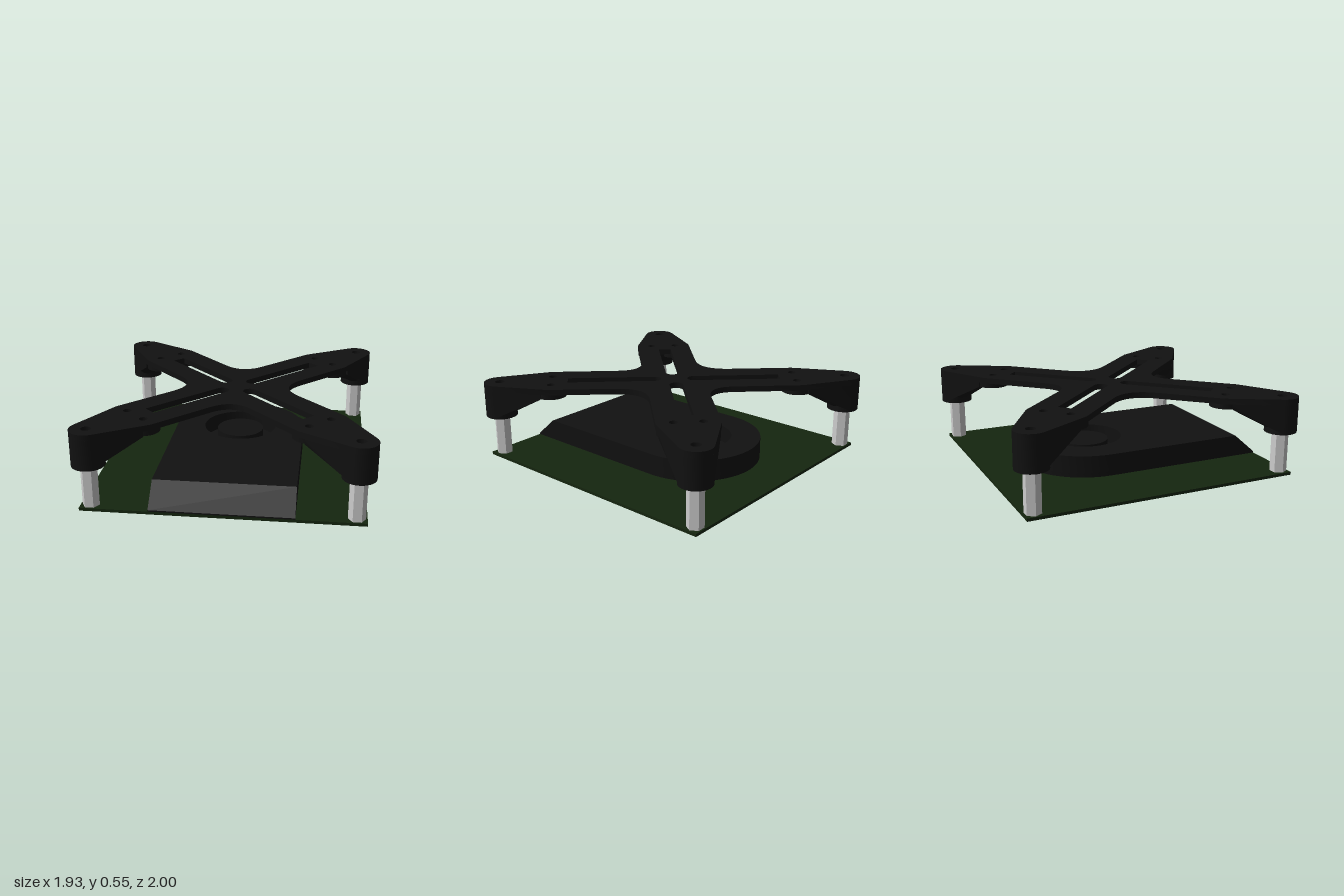
import * as THREE from 'three';
import { toCreasedNormals } from 'three/addons/utils/BufferGeometryUtils.js';

const black = new THREE.MeshStandardMaterial({ color: 0x111111 });
const green = new THREE.MeshStandardMaterial({ color: 0x15260f });
const metal = new THREE.MeshStandardMaterial({ color: 0xc0c0c0 });

// Post position, and the arm's measures along (u) and across (v) its axis
const PX = 0.853, PZ = 0.89, LEN = Math.hypot(PX, PZ), ANGLE = Math.atan2(PZ, PX);
const POST_R = 0.11, WIDE_U = 0.885, WIDE_V = 0.206, TAN = 1.314;
const ANGLES = [ANGLE, Math.PI - ANGLE, Math.PI + ANGLE, -ANGLE];
const BOSS_U = 0.867, BOSS_V = 0.094;

function add(parent, name, geometry, material, x = 0, y = 0, z = 0) {
  const mesh = new THREE.Mesh(geometry, material);
  mesh.name = name;
  mesh.position.set(x, y, z);
  parent.add(mesh);
  return mesh;
}

const circle = (x, y, r) => new THREE.Path().absarc(x, y, r, 0, Math.PI * 2, true);

// Extrudes a plan (shape y = -z) upward from y0 to y1
function slab(shape, y0, y1) {
  const g = new THREE.ExtrudeGeometry(shape, { depth: y1 - y0, bevelEnabled: false, curveSegments: 16 });
  return g.rotateX(-Math.PI / 2).translate(0, y0, 0);
}

function ring(x, y, r, hole) {
  const s = new THREE.Shape().absarc(x, y, r, 0, Math.PI * 2);
  s.holes.push(circle(x, y, hole));
  return s;
}

// Rounded, tapering end of an arm, from its start at (u, v)
function armEnd(u, v) {
  const pts = [new THREE.Vector2(u, -v)];
  for (let i = 0; i <= 20; i++) {
    const a = TAN * (i / 10 - 1);
    pts.push(new THREE.Vector2(LEN + POST_R * Math.cos(a), POST_R * Math.sin(a)));
  }
  pts.push(new THREE.Vector2(u, v));
  return pts;
}

// Cross plate: four arms joined by fillets, with slots and screw holes
function crossPlate() {
  const o = new THREE.Vector2();
  const at = (u, v, a) => new THREE.Vector2(u, v).rotateAround(o, a);
  const shape = new THREE.Shape();
  ANGLES.forEach((a, i) => {
    const start = at(0.42, -WIDE_V, a);
    if (i === 0) shape.moveTo(start.x, start.y);
    armEnd(WIDE_U, WIDE_V).forEach(p => {
      p.rotateAround(o, a);
      shape.lineTo(p.x, p.y);
    });
    const end = at(0.42, WIDE_V, a);
    shape.lineTo(end.x, end.y);
    // fillet to the next arm
    const next = at(0.42, -WIDE_V, ANGLES[(i + 1) % 4]);
    const c = end.clone().add(next).multiplyScalar(0.5).setLength(WIDE_V * Math.SQRT2);
    shape.quadraticCurveTo(c.x, c.y, next.x, next.y);

    const slot = [at(0.755, -0.047, a), at(0.755, 0.047, a)];
    for (let k = 0; k <= 10; k++) {
      const t = Math.PI * (0.5 + k / 10);
      slot.push(at(0.14 + 0.047 * Math.cos(t), 0.047 * Math.sin(t), a));
    }
    shape.holes.push(new THREE.Path(slot));
    const post = at(LEN, 0, a);
    shape.holes.push(circle(post.x, post.y, 0.033));
    for (const s of [-1, 1]) {
      const h = at(BOSS_U, s * BOSS_V, a);
      shape.holes.push(circle(h.x, h.y, 0.028));
    }
  });
  return toCreasedNormals(slab(shape, 0.51, 0.55), 0.6);
}

// Wedge under the arm, deepening toward the post
function gusset() {
  const shape = new THREE.Shape(armEnd(0.935, 0.192));
  shape.holes.push(circle(LEN, 0, 0.06));
  const g = slab(shape, 0.315, 0.512);
  const p = g.attributes.position;
  for (let i = 0; i < p.count; i++) {
    if (p.getX(i) < 1 && p.getY(i) < 0.4) p.setY(i, 0.475);
  }
  g.computeVertexNormals();
  return toCreasedNormals(g, 0.6);
}

// Blower housing: round back, square outlet, with an intake well
function blower() {
  const group = new THREE.Group();
  group.name = 'blower';
  const R = 0.47, CZ = -0.19, FLOOR = 0.05, TOP = 0.17;
  const outline = () => {
    const s = new THREE.Shape();
    s.moveTo(-R, -0.79);
    s.lineTo(R, -0.79);
    s.lineTo(R, -CZ);
    s.absarc(0, -CZ, R, 0, Math.PI);
    s.closePath();
    return s;
  };
  const upper = outline();
  upper.holes.push(circle(0, -CZ, 0.265));
  add(group, 'blowerHousing', toCreasedNormals(slab(upper, FLOOR, TOP), 0.6), black);
  add(group, 'blowerFloor', toCreasedNormals(slab(outline(), 0.02, FLOOR), 0.6), black);
  add(group, 'blowerHub', new THREE.CylinderGeometry(0.17, 0.17, 0.1, 40), black, 0, 0.1, CZ);

  // sloped outlet, drawn in side profile and swept across
  const side = new THREE.Shape();
  side.moveTo(0.79, 0.02);
  side.lineTo(0.95, 0.02);
  side.lineTo(0.95, 0.03);
  side.lineTo(0.79, TOP);
  const lip = new THREE.ExtrudeGeometry(side, { depth: 2 * R, bevelEnabled: false });
  add(group, 'blowerOutlet', lip.rotateY(-Math.PI / 2).translate(R, 0, 0), black);
  return group;
}

export function createModel() {
  const model = new THREE.Group();
  model.name = 'bracketAssembly';

  add(model, 'circuitBoard', new THREE.BoxGeometry(1.84, 0.02, 1.9), green, 0, 0.01, 0);
  model.add(blower());
  add(model, 'crossPlate', crossPlate(), black);

  const wedge = gusset();
  const post = toCreasedNormals(slab(ring(LEN, 0, POST_R, 0.033), 0.305, 0.512), 0.6);
  const bosses = [-1, 1].map(s =>
    toCreasedNormals(slab(ring(BOSS_U, s * BOSS_V, 0.108, 0.028), 0.475, 0.512), 0.6));
  // hexagonal spacer with its corners along x
  const hex = new THREE.CylinderGeometry(0.057, 0.057, 0.286, 6).rotateY(Math.PI / 2).toNonIndexed();
  hex.computeVertexNormals();

  for (const a of ANGLES) {
    const arm = new THREE.Group();
    arm.name = 'armUnderside';
    arm.rotation.y = a;
    add(arm, 'gusset', wedge, black);
    add(arm, 'post', post, black);
    bosses.forEach(b => add(arm, 'screwBoss', b, black));
    model.add(arm);
    add(model, 'standoff', hex, metal, LEN * Math.cos(a), 0.163, -LEN * Math.sin(a));
  }
  return model;
}
